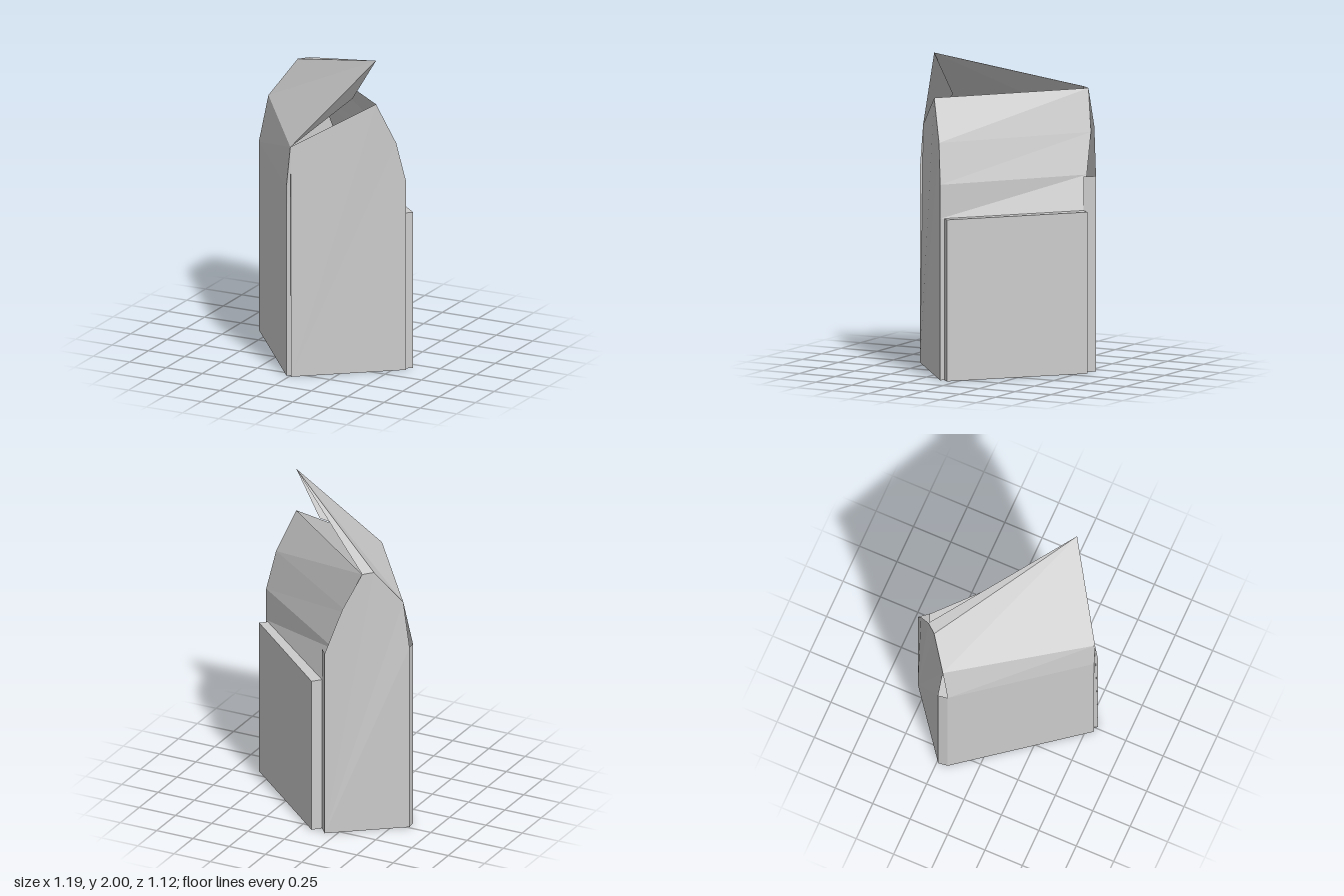
import * as THREE from 'three';

const material = new THREE.MeshStandardMaterial({ color: 0xcccccc, flatShading: true, side: THREE.DoubleSide });

function makeMesh(name, triangles) {
  const geometry = new THREE.BufferGeometry();
  geometry.setAttribute('position', new THREE.Float32BufferAttribute(triangles.flat(), 3));
  geometry.computeVertexNormals();
  const mesh = new THREE.Mesh(geometry, material);
  mesh.name = name;
  return mesh;
}

// Flat panel: fan of triangles round its outline, counter-clockwise from outside
function panel(name, points) {
  const out = [];
  for (let i = 1; i < points.length - 1; i++) out.push(points[0], points[i], points[i + 1]);
  return makeMesh(name, out);
}

// Folded wall: rows of [left, right] points from bottom to top
function foldedWall(name, rows) {
  const out = [];
  for (let i = 0; i < rows.length - 1; i++) {
    const [a, b] = rows[i], [c, d] = rows[i + 1];
    out.push(a, b, d, a, d, c);
  }
  return makeMesh(name, out);
}

export function createModel() {
  const group = new THREE.Group();

  // Shared corners of the carton top
  const peak = [0.43, 2, 0.235];
  const wallPeak = [0.43, 1.72, 0.235];
  const ridgeFront = [-0.41, 1.72, -0.35];
  const ridgeBack = [-0.36, 1.72, -0.41];
  const eaveSide = [-0.55, 1.5, -0.23];
  const eaveFront = [0, 1.47, 0.545];
  const shoulder = [0.525, 1.46, 0.15];

  // Plan corners of the body
  const at = (p, y) => [p[0], y, p[1]];
  const sideBack = [-0.59, -0.18], sideFront = [-0.025, 0.55];
  const innerFront = [0, 0.535], endFront = [0.012, 0.56], endBack = [0.575, 0.115];
  const backInner = [-0.13, -0.5], gableBack = [-0.18, -0.56], gableFront = [-0.598, -0.24];

  // Long side wall and sloping roof above it
  group.add(foldedWall('longSideWall', [
    [at(sideBack, 0), at(sideFront, 0)],
    [at(sideBack, 1.21), at(sideFront, 1.21)],
    [eaveSide, eaveFront],
  ]));
  group.add(panel('roofPanel', [eaveSide, eaveFront, peak, ridgeFront]));
  group.add(panel('roofEdgeFlap', [ridgeFront, peak, ridgeBack]));

  // Front end wall, rising to the open spout
  group.add(panel('frontEndWall', [
    at(endFront, 0), at(endBack, 0), at(endBack, 1.21), shoulder, wallPeak, eaveFront, at(endFront, 1.21),
  ]));
  group.add(panel('spoutFlap', [eaveFront, [0.25, 1.72, 0.2], peak]));

  // Narrow folded seam between side and end walls
  group.add(foldedWall('cornerSeam', [
    [at(sideFront, 0), at(innerFront, 0)], [at(sideFront, 1), at(innerFront, 1)],
    [at(sideFront, 1.21), eaveFront],
  ]));
  group.add(foldedWall('cornerSeamReturn', [
    [at(innerFront, 0), at(endFront, 0)], [at(innerFront, 1), at(endFront, 1)],
    [eaveFront, at(endFront, 1.21)],
  ]));

  // Back wall, bending inwards towards its top edge
  group.add(foldedWall('backWall', [
    [at(endBack, 0), at(backInner, 0)],
    [at(endBack, 1), at(backInner, 1)],
    [at(endBack, 1.21), [-0.21, 1.21, -0.48]],
    [shoulder, [-0.3, 1.46, -0.46]],
    [wallPeak, ridgeBack],
  ]));

  // Rear gable end
  group.add(panel('rearGable', [
    at(gableBack, 0), at(gableFront, 0), at(gableFront, 1.21), eaveSide, ridgeFront, ridgeBack,
    [-0.27, 1.5, -0.5], at(gableBack, 1.21),
  ]));
  for (const [name, a, b] of [['rearSideSeam', gableFront, sideBack], ['rearBackSeam', backInner, gableBack]]) {
    group.add(foldedWall(name, [[at(a, 0), at(b, 0)], [at(a, 1.21), at(b, 1.21)]]));
  }

  // Shallow slab against the back wall
  const slab = [[0.552, 0.1], [0.594, 0.058], [-0.085, -0.552], backInner];
  slab.forEach((p, i) => {
    const q = slab[(i + 1) % 4];
    group.add(foldedWall('backSlabSide' + (i + 1), [[at(p, 0), at(q, 0)], [at(p, 1), at(q, 1)]]));
  });
  group.add(panel('backSlabTop', slab.map((p) => at(p, 1))));
  group.add(panel('backSlabBottom', slab.map((p) => at(p, 0)).reverse()));

  // Base
  group.add(panel('base', [
    sideBack, gableFront, gableBack, backInner, endBack, endFront, innerFront, sideFront,
  ].map((p) => at(p, 0))));

  return group;
}
